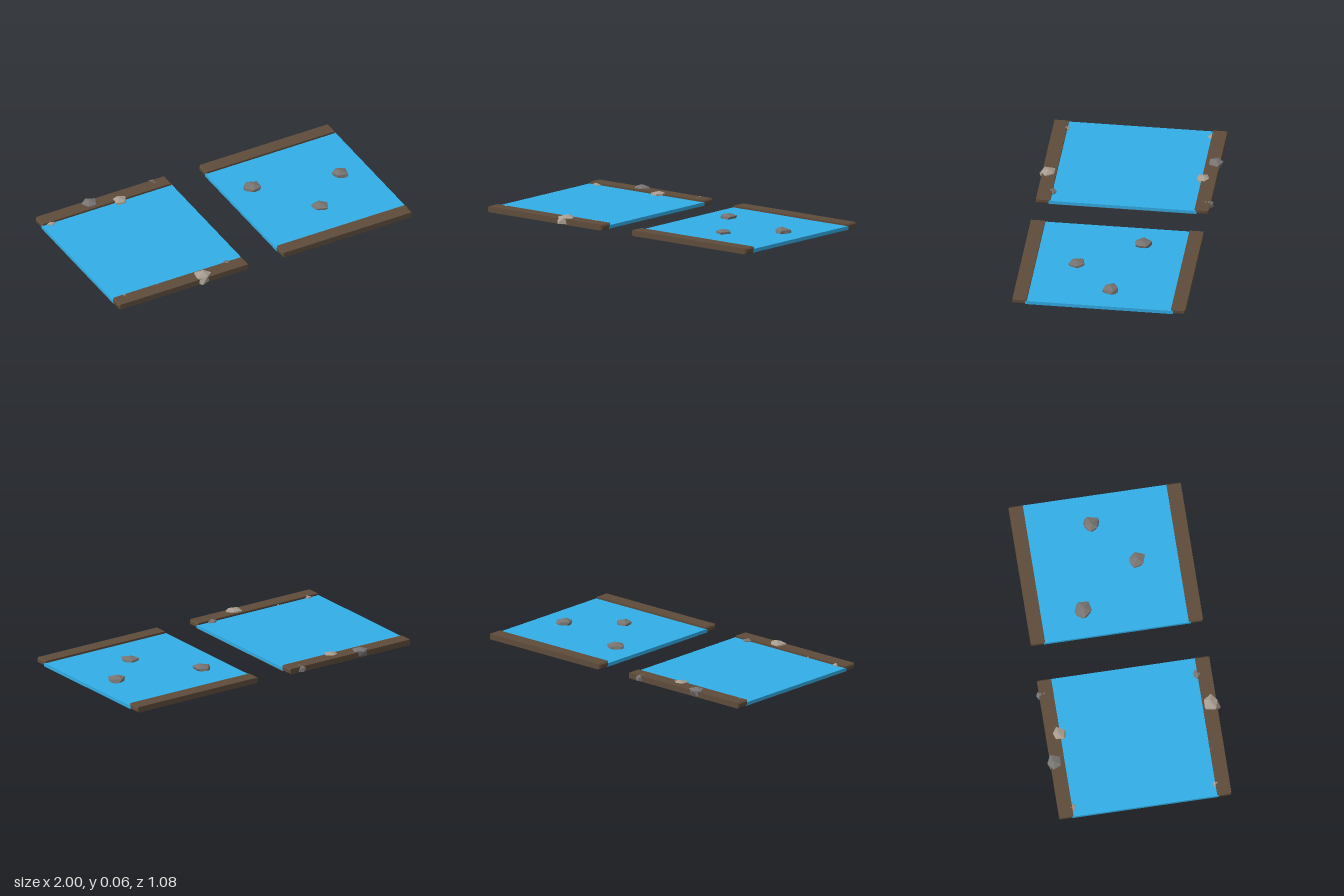
import * as THREE from 'three';

const paint = (name, color) => {
  const m = new THREE.MeshStandardMaterial({ color });
  m.name = name;
  return m;
};

export function createModel() {
  const soil = paint('soil brown', 0x5e4c3b);
  const blue = paint('water blue', 0x32afe8);
  const grey = paint('stone grey', 0x777472);
  const tan = paint('stone tan', 0xa89d90);

  const model = new THREE.Group();
  model.name = 'riverTiles';
  const add = (parent, name, geometry, material, x, y, z) => {
    const mesh = new THREE.Mesh(geometry, material);
    mesh.name = name;
    mesh.position.set(x, y, z);
    parent.add(mesh);
  };

  const LENGTH = 0.885;

  // Bank: a plank along x with all its edges chamfered
  const bankGeometry = () => {
    const c = 0.008, w = 0.043 - c, h = 0.035 - c;
    const s = new THREE.Shape([[-w, c], [w, c], [w, h], [-w, h]]
      .map(([x, y]) => new THREE.Vector2(x, y)));
    const g = new THREE.ExtrudeGeometry(s, {
      depth: LENGTH - 2 * c, bevelThickness: c, bevelSize: c, bevelSegments: 1,
    });
    g.translate(0, 0, c - LENGTH / 2);
    g.rotateY(Math.PI / 2);
    return g;
  };

  // Angular stone: an icosahedron with uneven points and a broad, low base
  const stoneGeometry = (radius, height, seed) => {
    const g = new THREE.IcosahedronGeometry(1, 0);
    g.rotateZ(Math.atan(2 / (1 + Math.sqrt(5))));
    const p = g.attributes.position;
    for (let i = 0; i < p.count; i++) {
      const x = p.getX(i), z = p.getZ(i);
      const y = p.getY(i) < 0 ? Math.max(-1, p.getY(i) * 2.05) : p.getY(i);
      const k = 1.03 + 0.17 * Math.sin(seed * 2.3 + 7 * x + 5 * y + 11 * z);
      const lean = 0.12 * Math.sin(seed * 1.7);
      p.setXYZ(i, (x * k + lean * y) * radius, y * height / 2, (z * k - lean * y) * radius);
    }
    g.rotateY(seed);
    g.computeVertexNormals();
    return g;
  };

  // Each stone: x, z, radius, bottom, top, material
  const tiles = [
    {
      name: 'leftBankTile', x: -0.5575, bed: 0.002, stones: [
        [-0.645, -0.49, 0.055, 0.002, 0.055, grey],
        [-0.47, -0.445, 0.045, 0.004, 0.046, tan],
        [-0.412, 0.487, 0.052, 0.002, 0.058, tan],
        [-0.205, -0.514, 0.028, 0.004, 0.039, grey],
        [-0.205, -0.49, 0.018, 0.01, 0.038, grey],
        [-0.22, 0.436, 0.034, 0.004, 0.039, grey],
        [-0.92, 0.438, 0.024, 0.006, 0.038, tan],
        [-0.94, -0.44, 0.03, 0.004, 0.036, tan],
        [-0.70, 0.443, 0.014, 0.006, 0.037, tan],
      ],
    },
    {
      name: 'rightStoneTile', x: 0.5575, bed: 0.001, stones: [
        [0.288, -0.175, 0.054, 0, 0.053, grey],
        [0.815, -0.05, 0.054, 0, 0.058, grey],
        [0.557, 0.185, 0.056, 0, 0.048, grey],
      ],
    },
  ];

  tiles.forEach((t, ti) => {
    const tile = new THREE.Group();
    tile.name = t.name;
    model.add(tile);

    // Water slab between the banks
    add(tile, 'water', new THREE.BoxGeometry(LENGTH, 0.023 - t.bed, 0.89), blue,
      t.x, (0.023 + t.bed) / 2, 0);
    // Brown river bed closing the underside of the left tile
    if (ti === 0) {
      add(tile, 'riverBed', new THREE.BoxGeometry(LENGTH, t.bed, 0.89), soil, t.x, t.bed / 2, 0);
    }
    // Front and back banks
    for (const side of [1, -1]) {
      add(tile, side > 0 ? 'frontBank' : 'backBank', bankGeometry(), soil, t.x, 0, side * 0.477);
    }
    // Stones
    t.stones.forEach(([x, z, r, bottom, top, material], i) => {
      add(tile, 'stone', stoneGeometry(r, top - bottom, i + 1 + ti * 4), material,
        x, (top + bottom) / 2, z);
    });
  });

  return model;
}
